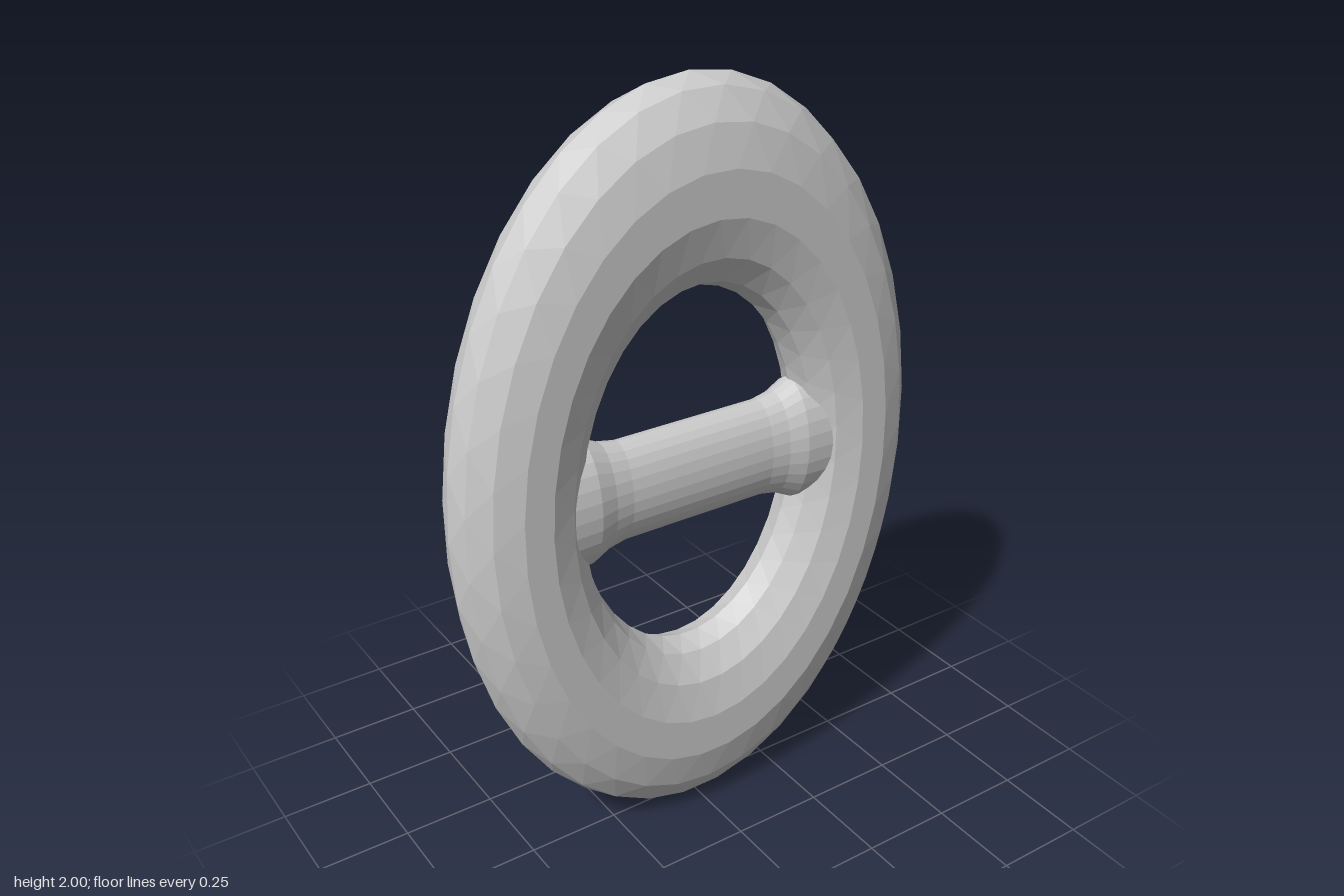
import * as THREE from 'three';

const material = new THREE.MeshStandardMaterial({ color: 0xcccccc, flatShading: true });

// Faceted oval ring: a torus with staggered rows, squashed to an ellipse
function makeRing() {
  const tubeSides = 14, arcSides = 36;
  const geo = new THREE.TorusGeometry(0.745, 0.255, tubeSides, arcSides);
  const pos = geo.attributes.position;
  const v = new THREE.Vector3();
  const axis = new THREE.Vector3(0, 0, 1);
  for (let k = 0; k < pos.count; k++) {
    const row = Math.floor(k / (arcSides + 1));
    v.fromBufferAttribute(pos, k).applyAxisAngle(axis, -row * Math.PI / arcSides);
    pos.setXYZ(k, v.x, v.y, v.z);
  }
  geo.scale(0.67, 1, 0.13 / 0.255);
  geo.computeVertexNormals();
  return new THREE.Mesh(geo, material);
}

// Oval crossbar that flares where it meets the ring
function makeCrossbar() {
  const half = [[0.135, 0], [0.135, 0.21], [0.145, 0.26], [0.17, 0.31], [0.175, 0.42]];
  const profile = [
    ...half.slice(1).reverse().map(([r, x]) => new THREE.Vector2(r, -x)),
    ...half.map(([r, x]) => new THREE.Vector2(r, x)),
  ];
  const geo = new THREE.LatheGeometry(profile, 28);
  geo.rotateZ(Math.PI / 2);
  geo.scale(1, 1, 0.56);
  return new THREE.Mesh(geo, material);
}

export function createModel() {
  const group = new THREE.Group();
  group.name = 'studLink';

  const ring = makeRing();
  ring.name = 'ovalRing';
  ring.position.y = 1;

  const crossbar = makeCrossbar();
  crossbar.name = 'crossbar';
  crossbar.position.y = 1.003;

  group.add(ring, crossbar);
  return group;
}
